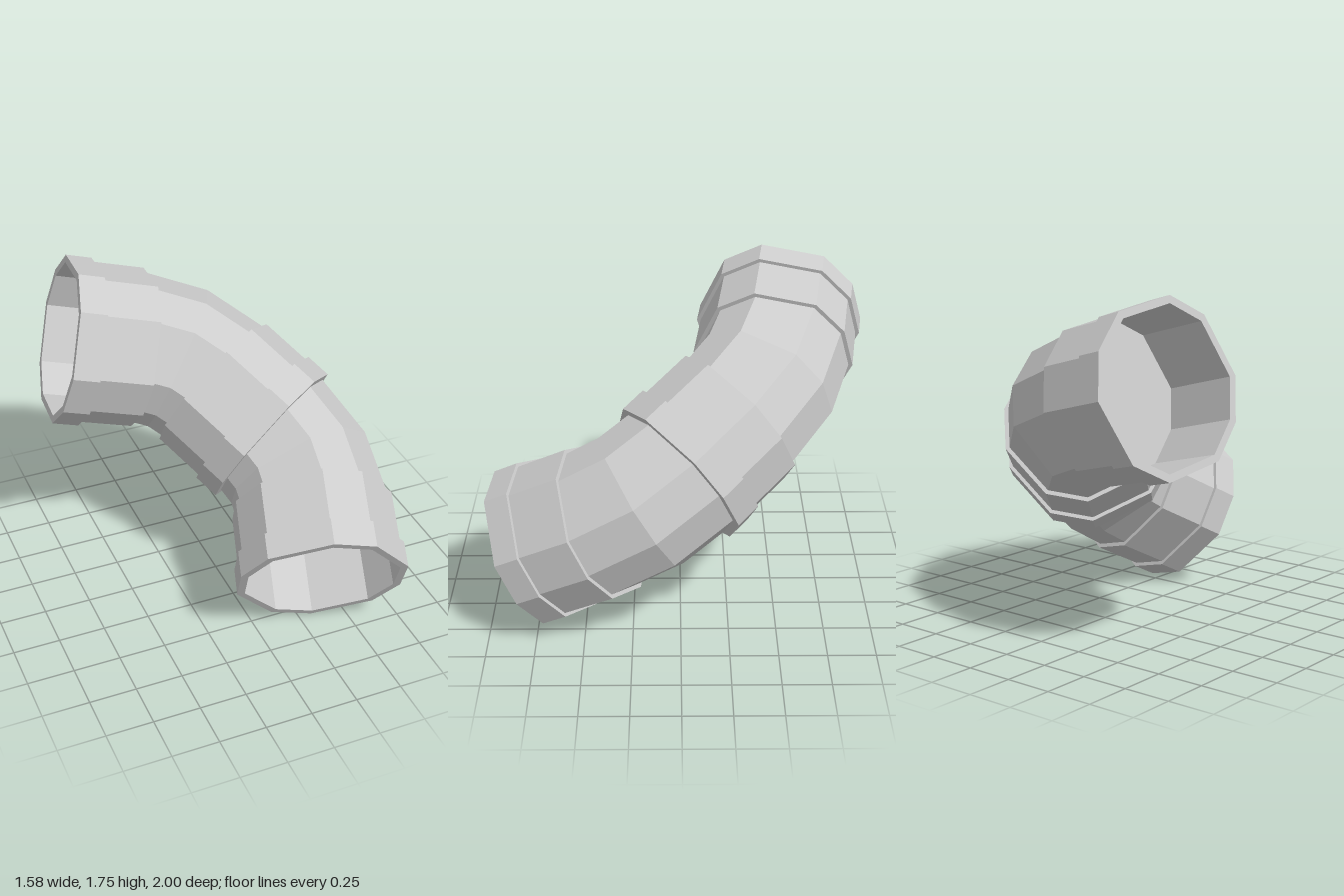
import * as THREE from 'three';

// Ten-sided section, angles measured from the outside of the bend
const ANGLES = [0, 30, 75, 105, 150, 180, 210, 255, 285, 330].map(THREE.MathUtils.degToRad);
const RIM = 0.447, SOCKET = 0.427, PIPE = 0.405, BORE = 0.407;
const RIM_LEN = 0.14, SOCKET_LEN = 0.43, BEND_RADIUS = 0.59;

const material = new THREE.MeshStandardMaterial({ color: 0xcccccc, flatShading: true });

// Skin a list of [x, y, heading, radius] rings lying across the pipe path
function skin(name, rings) {
  const n = ANGLES.length, pos = [], index = [];
  for (const [x, y, heading, r] of rings) {
    for (const a of ANGLES) {
      const out = r * Math.cos(a);
      pos.push(x + out * Math.sin(heading), y - out * Math.cos(heading), r * Math.sin(a));
    }
  }
  for (let i = 0; i < rings.length - 1; i++) {
    for (let j = 0; j < n; j++) {
      const a = i * n + j, b = i * n + (j + 1) % n;
      if (rings[i][3] > 0) index.push(a, a + n, b);
      if (rings[i + 1][3] > 0) index.push(b, a + n, b + n);
    }
  }
  const geometry = new THREE.BufferGeometry();
  geometry.setAttribute('position', new THREE.Float32BufferAttribute(pos, 3));
  geometry.setIndex(index);
  const flat = geometry.toNonIndexed();
  flat.computeVertexNormals();
  const mesh = new THREE.Mesh(flat, material);
  mesh.name = name;
  return mesh;
}

// Straight sleeve from a profile of [distance, radius]
function sleeve(name, x, y, heading, profile) {
  return skin(name, profile.map(([d, r]) =>
    [x + d * Math.cos(heading), y + d * Math.sin(heading), heading, r]));
}

// 45 degree elbow in two straight segments
function elbow(name, cx, cy, start) {
  return skin(name, [0, 1, 2].map((i) => {
    const h = start + i * Math.PI / 8;
    return [cx + BEND_RADIUS * Math.sin(h), cy - BEND_RADIUS * Math.cos(h), h, PIPE];
  }));
}

export function createModel() {
  const pipe = new THREE.Group();
  pipe.name = 'pipe';
  const quarter = Math.PI / 4;
  const end = SOCKET_LEN + BEND_RADIUS + SOCKET_LEN * Math.SQRT1_2;

  // Outer shape of a socket: rim, step, body, step down to the pipe
  const outer = [[0, RIM], [RIM_LEN, RIM], [RIM_LEN, SOCKET], [SOCKET_LEN, SOCKET], [SOCKET_LEN, PIPE - 0.02]];
  // Open mouth with a flat floor
  const open = [[SOCKET_LEN - 0.005, 0], [SOCKET_LEN - 0.005, BORE], [0, BORE], ...outer];
  const reversed = open.map(([d, r]) => [-d, r]).reverse();

  pipe.add(
    sleeve('lowerSocket', 0, 0, 0, open),
    elbow('lowerElbow', SOCKET_LEN, BEND_RADIUS, 0),
    sleeve('middleSocket',
      SOCKET_LEN + BEND_RADIUS * Math.sin(quarter), BEND_RADIUS * (1 - Math.cos(quarter)), quarter,
      [[0, PIPE - 0.02], ...outer]),
    elbow('upperElbow', end - BEND_RADIUS, end - SOCKET_LEN, quarter),
    sleeve('upperSocket', end, end, Math.PI / 2, reversed),
  );

  // Tilt the plane of the bend into place
  const along = new THREE.Vector3(0.25, 0.456, -0.855).normalize();
  const normal = along.clone().cross(new THREE.Vector3(-0.957, 0.25, -0.148)).normalize();
  const across = normal.clone().cross(along);
  pipe.quaternion.setFromRotationMatrix(new THREE.Matrix4().makeBasis(along, across, normal));
  pipe.position.set(0.275, 0.403, 0.766);

  const model = new THREE.Group();
  model.name = 'pipeBend';
  model.add(pipe);
  return model;
}
